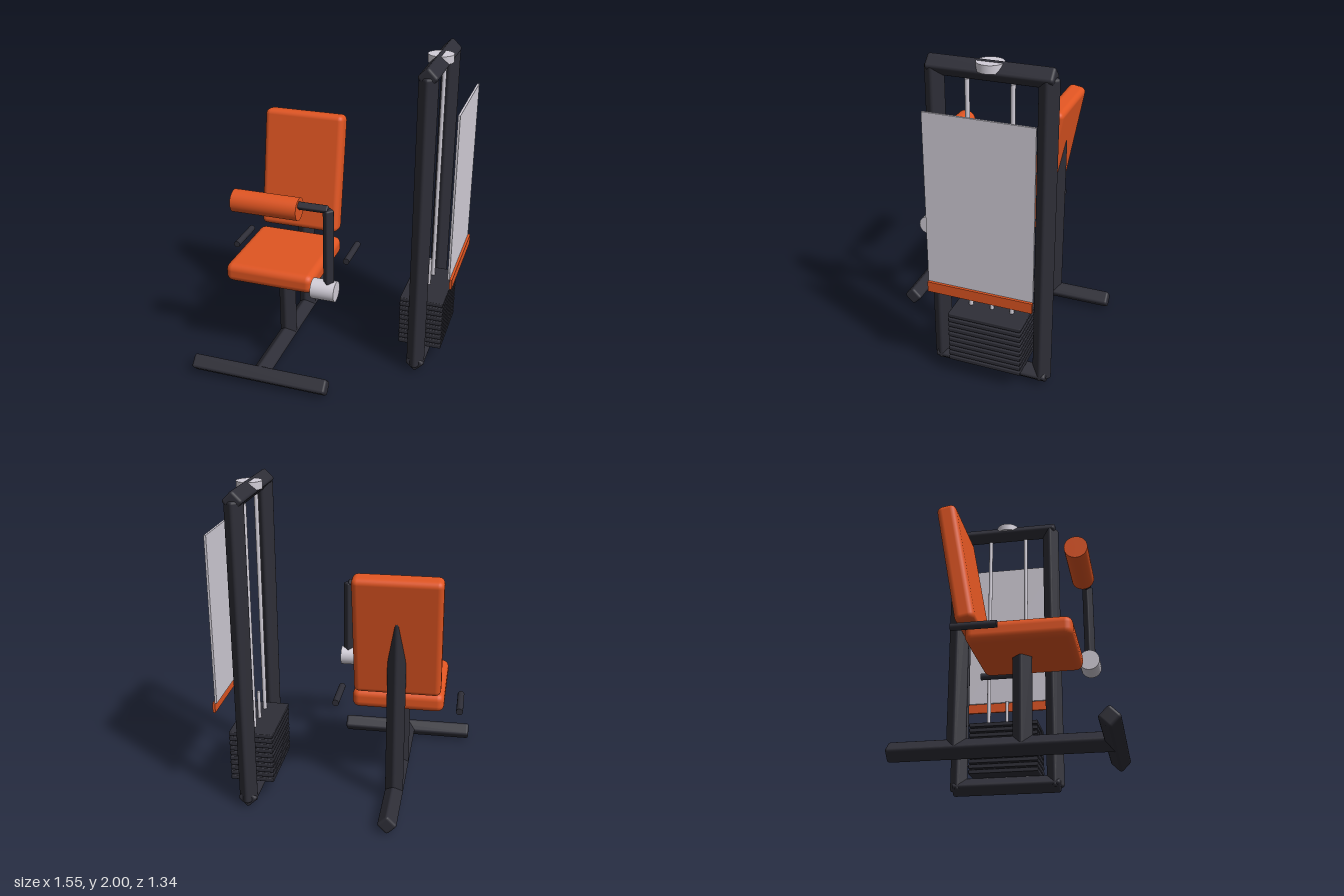
import * as THREE from 'three';
import { RoundedBoxGeometry } from 'three/addons/geometries/RoundedBoxGeometry.js';

const material = (name, color) => {
  const m = new THREE.MeshStandardMaterial({ color });
  m.name = name;
  return m;
};

export function createModel() {
  const frame = material('dark frame', 0x2e2e37);
  const padding = material('orange padding', 0xe05522);
  const metal = material('light metal', 0xd2ced8);
  const model = new THREE.Group();

  const add = (name, geometry, mat, x, y, z) => {
    const mesh = new THREE.Mesh(geometry, mat);
    mesh.name = name;
    mesh.position.set(x, y, z);
    model.add(mesh);
    return mesh;
  };

  // Square tube standing on its edge; from and to are its two end points
  const beam = (name, from, to, width = 0.115) => {
    const a = new THREE.Vector3(...from), b = new THREE.Vector3(...to);
    const radius = width * 0.15;
    const side = (width / 2 + radius * 0.414) * Math.SQRT2;
    const geometry = new RoundedBoxGeometry(side, a.distanceTo(b), side, 2, radius);
    geometry.rotateY(Math.PI / 4);
    const mid = a.clone().add(b).multiplyScalar(0.5);
    const mesh = add(name, geometry, frame, mid.x, mid.y, mid.z);
    mesh.quaternion.setFromUnitVectors(new THREE.Vector3(0, 1, 0), b.sub(a).normalize());
  };

  // Round bar along a chosen axis
  const bar = (name, mat, radius, length, axis, x, y, z) => {
    const geometry = new THREE.CylinderGeometry(radius, radius, length, 32);
    if (axis === 'x') geometry.rotateZ(Math.PI / 2);
    if (axis === 'z') geometry.rotateX(Math.PI / 2);
    return add(name, geometry, mat, x, y, z);
  };

  // Seat base
  const seatX = -0.327;
  beam('baseRail', [seatX, 0.057, -0.67], [seatX, 0.057, 0.62]);
  beam('frontFoot', [-0.774, 0.057, 0.611], [0.122, 0.057, 0.611]);
  beam('seatColumn', [seatX, 0.05, 0.102], [seatX, 0.6, 0.102]);
  beam('backColumn', [seatX, 0.05, -0.273], [seatX, 1.22, -0.273]);

  // Cushions
  add('seat', new RoundedBoxGeometry(0.577, 0.123, 0.605, 3, 0.045), padding, seatX, 0.639, 0.125);
  const back = add('backrest', new RoundedBoxGeometry(0.537, 0.785, 0.118, 3, 0.036), padding, seatX, 1.11, -0.25);
  back.rotation.x = -0.178;

  // Side handles
  for (const x of [-0.714, 0.058]) bar('handle', frame, 0.021, 0.257, 'z', x, 0.625, -0.097);

  // Swing arm with its roller and pivot
  bar('armRoller', padding, 0.069, 0.413, 'x', -0.302, 1.171, 0.449);
  bar('armPivot', metal, 0.063, 0.148, 'x', 0.059, 0.663, 0.46);
  beam('armCrossbar', [-0.3, 1.199, 0.457], [0.085, 1.199, 0.457], 0.052);
  beam('armUpright', [0.085, 0.65, 0.459], [0.085, 1.2, 0.459], 0.066);

  // Weight tower
  const towerX = 0.572, towerZ = -0.158;
  for (const z of [0.164, -0.48]) beam('towerPost', [towerX, 0.03, z], [towerX, 1.947, z]);
  for (const y of [0.057, 1.943]) beam('towerRail', [towerX, y, -0.516], [towerX, y, 0.2]);
  bar('pulley', metal, 0.077, 0.047, 'y', towerX, 1.971, towerZ);

  // Guide rods and the short selector rod
  for (const z of [-0.024, -0.284]) bar('guideRod', metal, 0.013, 1.83, 'y', towerX, 0.97, z);
  bar('selectorRod', metal, 0.011, 0.58, 'y', towerX, 0.345, towerZ);

  // Weight stack
  for (let i = 0; i < 10; i++) {
    add('weightPlate', new RoundedBoxGeometry(0.281, 0.027, 0.457, 1, 0.006), frame,
      towerX, 0.125 + i * 0.0346, towerZ);
  }

  // Side panel and its trim
  add('sidePanel', new THREE.BoxGeometry(0.013, 1.05, 0.637), metal, 0.752, 1.214, -0.157);
  add('panelTrim', new THREE.BoxGeometry(0.016, 0.065, 0.637), padding, 0.766, 0.658, -0.157);

  return model;
}
